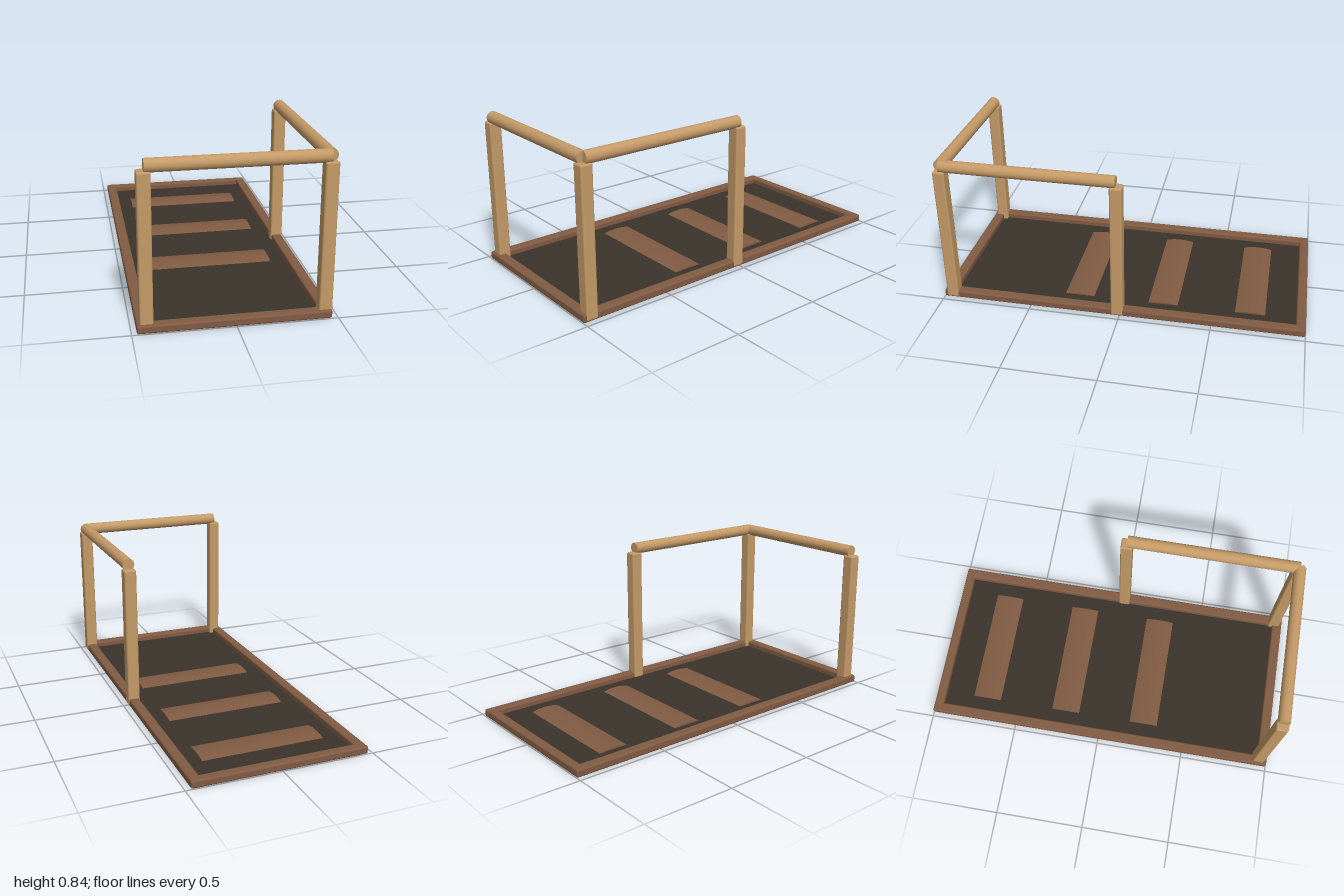
import * as THREE from 'three';
import { RoundedBoxGeometry } from 'three/addons/geometries/RoundedBoxGeometry.js';

const paleWood = new THREE.MeshStandardMaterial({ color: 0xc49a67 });
paleWood.name = 'paleWood';
const brownWood = new THREE.MeshStandardMaterial({ color: 0x815b43 });
brownWood.name = 'brownWood';
const darkFloor = new THREE.MeshStandardMaterial({ color: 0x3a342b });
darkFloor.name = 'darkFloor';

export function createModel() {
  const model = new THREE.Group();
  model.name = 'railedPlatform';

  const add = (name, geometry, material) => {
    const mesh = new THREE.Mesh(geometry, material);
    mesh.name = name;
    model.add(mesh);
    return mesh;
  };
  // Rounded beam filling the given ranges
  const beam = (name, [x0, x1], [y0, y1], [z0, z1], material) =>
    add(name, new RoundedBoxGeometry(x1 - x0, y1 - y0, z1 - z0, 3, 0.01), material)
      .position.set((x0 + x1) / 2, (y0 + y1) / 2, (z0 + z1) / 2);

  // Border around the platform
  const high = [0, 0.042];
  beam('frameRight', [-0.475, -0.418], high, [-1, 1], brownWood);
  beam('frameLeft', [0.413, 0.47], high, [-1, 1], brownWood);
  beam('frameBack', [-0.475, 0.47], high, [-1, -0.947], brownWood);
  beam('frameFront', [-0.475, 0.47], high, [0.943, 1], brownWood);

  // Floor panel
  add('floor', new THREE.BoxGeometry(0.86, 0.006, 1.92), darkFloor).position.set(0, 0.007, 0);

  // Shallow arched slats resting on the floor
  const arch = new THREE.Shape();
  arch.moveTo(-0.082, 0);
  arch.lineTo(0.082, 0);
  arch.quadraticCurveTo(0, 0.02, -0.082, 0);
  const slatGeometry = new THREE.ExtrudeGeometry(arch, { depth: 0.67, bevelEnabled: false, curveSegments: 10 });
  slatGeometry.translate(0, 0, -0.335).rotateY(Math.PI / 2);
  for (const z of [-0.7, -0.22, 0.252]) {
    add('slat', slatGeometry, brownWood).position.set(-0.004, 0.0105, z);
  }

  // Posts
  const tall = [0.005, 0.788];
  beam('postFrontRight', [-0.46, -0.394], tall, [0.918, 0.984], paleWood);
  beam('postFrontLeft', [0.407, 0.474], tall, [0.918, 0.984], paleWood);
  beam('postMiddleLeft', [0.407, 0.474], tall, [-0.02, 0.046], paleWood);

  // Round hand rails meeting at the front left corner
  const rail = (name, length) => add(name, new THREE.CylinderGeometry(0.033, 0.033, length, 24), paleWood);
  const frontRail = rail('frontRail', 0.865);
  frontRail.rotation.z = Math.PI / 2;
  frontRail.position.set(0.0075, 0.811, 0.951);
  const sideRail = rail('sideRail', 0.936);
  sideRail.rotation.x = Math.PI / 2;
  sideRail.position.set(0.441, 0.811, 0.483);

  return model;
}
